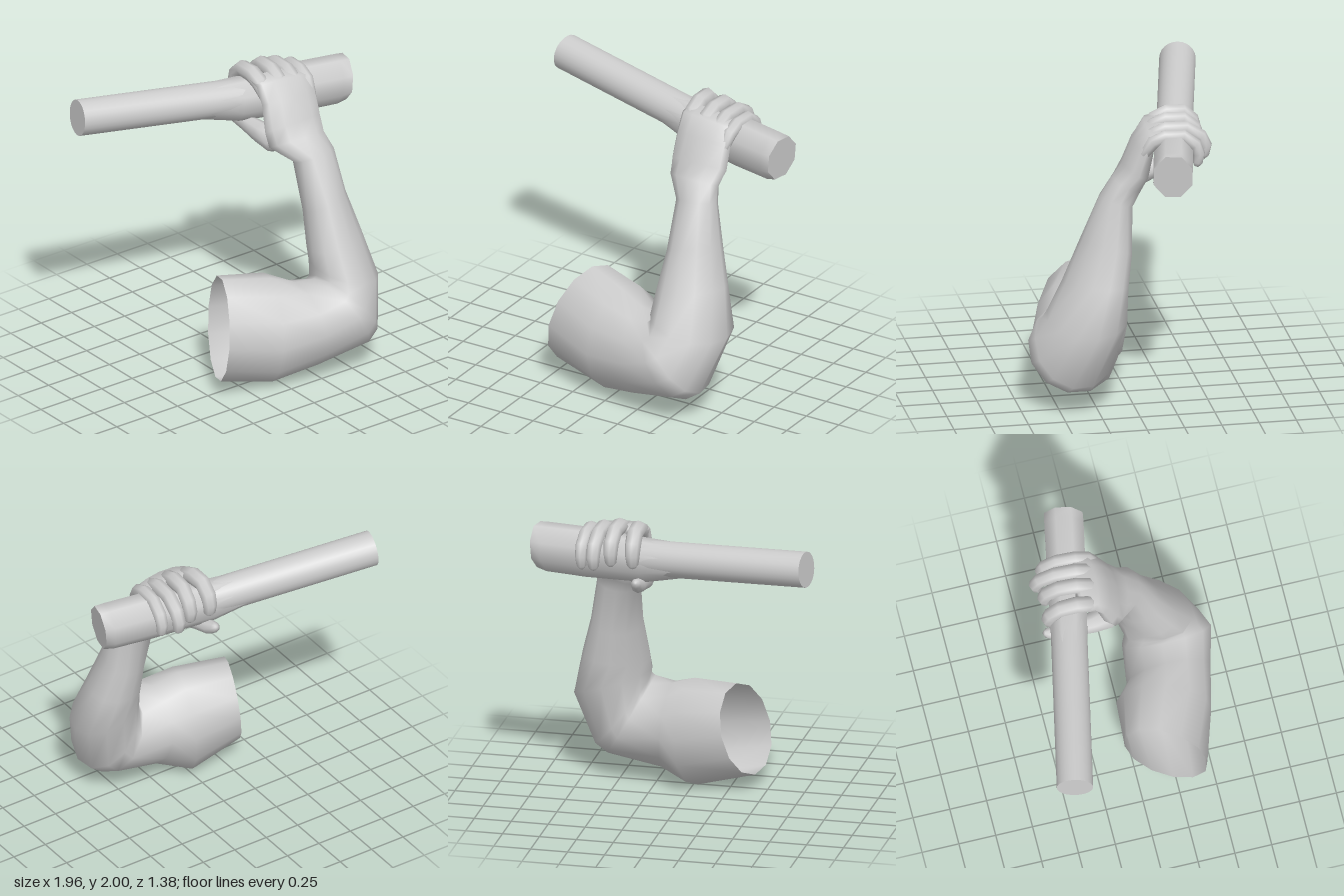
import * as THREE from 'three';
import { toCreasedNormals } from 'three/addons/utils/BufferGeometryUtils.js';

const V = (x, y, z) => new THREE.Vector3(x, y, z);

// Skin a list of rings {c, u, w}: centre plus two half-axes. Optional end caps.
function loft(rings, sides, { capStart = false, capEnd = false, turn = 0 } = {}) {
  const pos = [], idx = [];
  for (const { c, u, w } of rings) {
    for (let j = 0; j < sides; j++) {
      const a = (j / sides) * Math.PI * 2 + turn;
      const p = c.clone().addScaledVector(u, Math.cos(a)).addScaledVector(w, Math.sin(a));
      pos.push(p.x, p.y, p.z);
    }
  }
  const at = (i, j) => i * sides + (j % sides);
  for (let i = 0; i < rings.length - 1; i++) {
    for (let j = 0; j < sides; j++) {
      idx.push(at(i, j), at(i + 1, j), at(i, j + 1));
      idx.push(at(i, j + 1), at(i + 1, j), at(i + 1, j + 1));
    }
  }
  const cap = (i, end) => {
    const k = pos.length / 3, c = rings[i].c;
    pos.push(c.x, c.y, c.z);
    for (let j = 0; j < sides; j++) {
      if (end) idx.push(k, at(i, j + 1), at(i, j));
      else idx.push(k, at(i, j), at(i, j + 1));
    }
  };
  if (capStart) cap(0, false);
  if (capEnd) cap(rings.length - 1, true);
  const g = new THREE.BufferGeometry();
  g.setAttribute('position', new THREE.Float32BufferAttribute(pos, 3));
  g.setIndex(idx);
  g.computeVertexNormals();
  return g;
}

// Tapered, rounded digit along a path that runs mostly in the y-z plane
function digit(points, radii) {
  const rings = points.map((c, i) => {
    const t = points[Math.min(i + 1, points.length - 1)].clone()
      .sub(points[Math.max(i - 1, 0)]).normalize();
    const u = V(1, 0, 0).addScaledVector(t, -t.x).normalize();
    const w = u.clone().cross(t);
    return { c, u: u.multiplyScalar(radii[i]), w: w.multiplyScalar(radii[i]) };
  });
  return loft(rings, 8, { capStart: true, capEnd: true });
}

export function createModel() {
  const model = new THREE.Group();
  const grey = new THREE.MeshStandardMaterial({ color: 0xcccccc, side: THREE.DoubleSide });
  grey.name = 'light grey';
  const add = (name, geometry) => {
    const m = new THREE.Mesh(geometry, grey);
    m.name = name;
    model.add(m);
  };

  // Bent arm and back of hand: outer point, inner point, half-width toward the front
  const armRings = [
    [V(-0.42, 0.11, 0.225), V(-0.31, 0.765, 0.155), V(-0.105, -0.025, 0.255)],
    [V(-0.03, 0.005, 0.24), V(0.0, 0.735, 0.28), V(-0.09, -0.03, 0.3)],
    [V(0.22, 0.08, 0.37), V(0.17, 0.67, 0.32), V(0, 0.01, 0.285)],
    [V(0.6, 0.155, 0.46), V(0.31, 0.655, 0.33), V(-0.03, 0.07, 0.295)],
    [V(0.695, 0.215, 0.44), V(0.325, 0.68, 0.34), V(-0.02, 0.06, 0.265)],
    [V(0.815, 0.59, 0.29), V(0.31, 0.74, 0.35), V(-0.02, -0.02, 0.26)],
    [V(0.74, 0.9, 0.2), V(0.31, 0.85, 0.32), V(0, 0.02, 0.2)],
    [V(0.67, 1.15, 0.14), V(0.335, 1.1, 0.23), V(0, 0.05, 0.16)],
    [V(0.62, 1.45, 0.11), V(0.325, 1.42, 0.11), V(0, 0.04, 0.11)],
    [V(0.595, 1.55, 0.05), V(0.2, 1.52, -0.01), V(0, 0.05, 0.1)],
    [V(0.62, 1.64, -0.02), V(0.19, 1.62, -0.04), V(0, 0.05, 0.085)],
    [V(0.62, 1.8, -0.07), V(0.2, 1.8, -0.09), V(0, 0.03, 0.07)],
    [V(0.62, 1.88, -0.14), V(0.2, 1.91, -0.15), V(0, 0.04, 0.05)],
    [V(0.61, 1.895, -0.23), V(0.2, 1.935, -0.24), V(0, 0.035, 0.02)],
  ].map(([o, i, w]) => ({
    c: o.clone().add(i).multiplyScalar(0.5),
    u: o.clone().sub(i).multiplyScalar(0.5),
    w,
  }));
  add('armAndHand', loft(armRings, 12, { capEnd: true }));

  // Four fingers wrapped over the bar: knuckle x, tip x, reach behind bar, height, thickness
  const fingers = [
    ['indexFinger', 0.26, 0.25, 0.135, 1.945, 1.15],
    ['middleFinger', 0.375, 0.4, 0.16, 1.945, 1.1],
    ['ringFinger', 0.485, 0.51, 0.215, 1.92, 1.05],
    ['littleFinger', 0.58, 0.605, 0.175, 1.9, 0.95],
  ];
  for (const [name, x0, x1, reach, y, thick] of fingers) {
    const z = -0.575 + 0.21 * (x1 + 0.96);
    const path = [
      [0.19, -0.12], [0.13, -0.035], [0.05, 0], [-0.4 * reach, 0], [-0.85 * reach, -0.06],
      [-reach, -0.125], [-0.95 * reach, -0.185], [-0.9 * reach, -0.21],
    ].map(([dz, dy], i) => V(x0 + (x1 - x0) * Math.min(i / 4, 1), y + dy, z + dz));
    const radii = [0.035, 0.05, 0.05, 0.048, 0.047, 0.043, 0.036, 0.018];
    add(name, digit(path, radii.map((r) => r * thick)));
  }

  // Thumb passing below the bar
  add('thumb', digit([
    V(0.3, 1.56, 0.02), V(0.275, 1.54, -0.06), V(0.245, 1.56, -0.17), V(0.23, 1.58, -0.3),
    V(0.22, 1.6, -0.41), V(0.22, 1.635, -0.475), V(0.22, 1.648, -0.495),
  ], [0.05, 0.09, 0.072, 0.055, 0.05, 0.035, 0.015]));

  // Round bar and its thicker eight-sided grip: x, y, z, half height, half depth
  const barRing = ([x, y, z, h, d]) => ({
    c: V(x, y, z), u: V(-0.08 * h, -h, 0), w: V(-0.21 * d, 0, 0.98 * d),
  });
  const bar = [[-0.957, 1.865, -0.575, 0.12, 0.12], [0.4, 1.755, -0.29, 0.12, 0.12]];
  add('bar', toCreasedNormals(
    loft(bar.map(barRing), 24, { capStart: true, capEnd: true }), 0.9));

  const grip = [
    [-0.08, 1.79, -0.39, 0.115, 0.115],
    [0.18, 1.757, -0.335, 0.15, 0.13],
    [0.6, 1.75, -0.25, 0.17, 0.138],
    [0.88, 1.745, -0.195, 0.167, 0.14],
    [0.948, 1.752, -0.183, 0.155, 0.138],
  ];
  add('grip', toCreasedNormals(
    loft(grip.map(barRing), 8, { capStart: true, capEnd: true, turn: Math.PI / 8 }), 0.9));

  return model;
}
